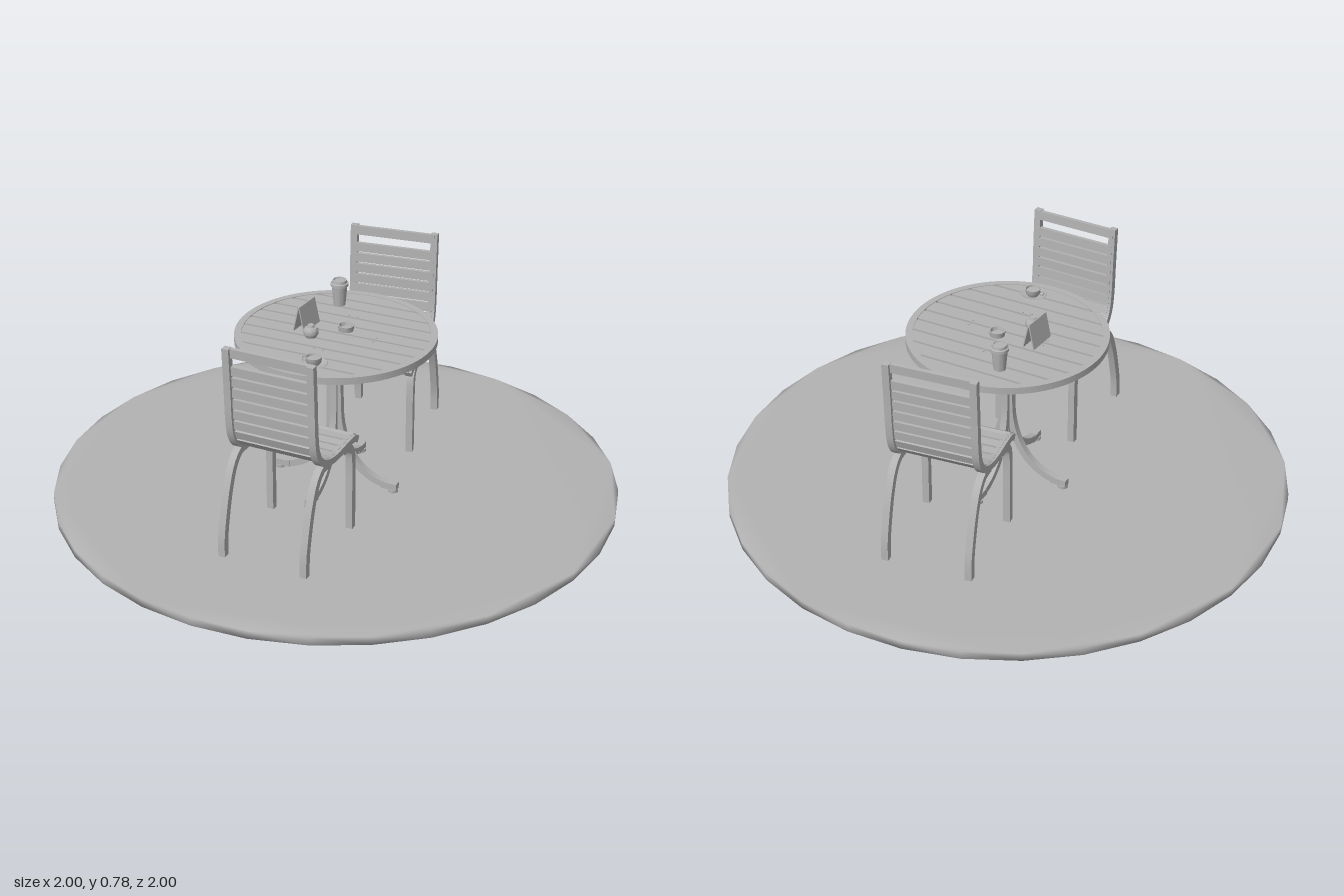
import * as THREE from 'three';
import { mergeVertices, toCreasedNormals } from 'three/addons/utils/BufferGeometryUtils.js';

const grey = new THREE.MeshStandardMaterial({ color: 0xb2b2b2 });
grey.name = 'plainGrey';
const greyOpen = grey;

function add(parent, name, geometry, x = 0, y = 0, z = 0) {
  const mesh = new THREE.Mesh(geometry, grey);
  mesh.name = name;
  mesh.position.set(x, y, z);
  parent.add(mesh);
  return mesh;
}

function curveOf(points) {
  return new THREE.CatmullRomCurve3(points.map(([x, y]) => new THREE.Vector3(x, y, 0)), false, 'centripetal');
}

// Flat bar bent along a curve in the xy plane, centred on z
function bentBar(points, thick, width, steps = 18) {
  const curve = curveOf(points);
  const outer = [], inner = [];
  for (let i = 0; i <= steps; i++) {
    const p = curve.getPointAt(i / steps), t = curve.getTangentAt(i / steps);
    const nx = -t.y * thick / 2, ny = t.x * thick / 2;
    outer.push(new THREE.Vector2(p.x + nx, p.y + ny));
    inner.unshift(new THREE.Vector2(p.x - nx, p.y - ny));
  }
  const g = new THREE.ExtrudeGeometry(new THREE.Shape([...outer, ...inner]), { depth: width, bevelEnabled: false });
  g.translate(0, 0, -width / 2);
  return toCreasedNormals(g, 0.6);
}

// Closed revolved shape from [radius, height] points
function turned(points, sides = 20) {
  const g = new THREE.LatheGeometry(points.map(([r, y]) => new THREE.Vector2(r, y)), sides);
  return toCreasedNormals(g, 0.6);
}

// Flat shape laid horizontally, from y = 0 up to the height
function slab(shape, height, segments = 24) {
  const g = new THREE.ExtrudeGeometry(shape, { depth: height, bevelEnabled: false, curveSegments: segments });
  return g.rotateX(-Math.PI / 2);
}

// Round base with normals shared between top, rim and underside
function makeBase() {
  const pts = [];
  for (let i = 0; i < 32; i++) {
    const a = (i + 0.5) / 32 * Math.PI * 2;
    pts.push(new THREE.Vector2(Math.cos(a) * 1.0048, Math.sin(a) * 1.0048));
  }
  let g = slab(new THREE.Shape(pts), 0.03);
  g.deleteAttribute('normal');
  g.deleteAttribute('uv');
  g = mergeVertices(g, 1e-4);
  g.computeVertexNormals();
  return g;
}

function makeTable() {
  const table = new THREE.Group();
  table.name = 'table';

  // Rim ring
  const ring = new THREE.Shape().absarc(0, 0, 0.352, 0, Math.PI * 2);
  ring.holes.push(new THREE.Path().absarc(0, 0, 0.328, 0, Math.PI * 2, true));
  add(table, 'tableRim', toCreasedNormals(slab(ring, 0.025, 48), 0.6), 0, 0.585, 0);

  // Slats cut to the circle
  const R = 0.332, count = 10, pitch = 2 * R / count, gap = 0.01;
  for (let i = 0; i < count; i++) {
    const z0 = -R + i * pitch + (i ? gap / 2 : 0.001);
    const z1 = -R + (i + 1) * pitch - (i < count - 1 ? gap / 2 : 0.001);
    const right = [], left = [];
    for (let k = 0; k <= 6; k++) {
      const z = z0 + (z1 - z0) * k / 6, x = Math.sqrt(R * R - z * z);
      right.push(new THREE.Vector2(x, z));
      left.unshift(new THREE.Vector2(-x, z));
    }
    add(table, 'tableSlat', slab(new THREE.Shape([...right, ...left]), 0.02), 0, 0.588, 0);
  }

  // Four curved legs with feet and top screws
  const legPath = [[0.2, 0.052], [0.15, 0.065], [0.09, 0.105], [0.045, 0.17], [0.018, 0.26], [0.012, 0.36],
    [0.013, 0.46], [0.03, 0.52], [0.075, 0.56], [0.13, 0.574], [0.19, 0.576]];
  const legGeo = bentBar(legPath, 0.024, 0.024, 36);
  for (let i = 0; i < 4; i++) {
    const leg = new THREE.Group();
    leg.name = 'tableLeg';
    leg.rotation.y = i * Math.PI / 2;
    add(leg, 'legBar', legGeo);
    add(leg, 'foot', new THREE.BoxGeometry(0.06, 0.024, 0.026), 0.208, 0.052, 0);
    add(leg, 'footPad', new THREE.CylinderGeometry(0.018, 0.018, 0.012, 12), 0.222, 0.035, 0);
    for (const s of [-1, 1])
      add(leg, 'screw', new THREE.CylinderGeometry(0.004, 0.004, 0.003, 8), 0.145, 0.609, s * 0.016);
    table.add(leg);
  }
  add(table, 'tableColumn', new THREE.BoxGeometry(0.026, 0.32, 0.026), 0, 0.36, 0);
  table.rotation.y = -0.045;
  return table;
}

// Chair with its back towards local +x
function makeChair(name) {
  const chair = new THREE.Group();
  chair.name = name;
  const seatPath = [[0.247, 0.358], [0.265, 0.37], [0.3, 0.373], [0.42, 0.37], [0.48, 0.383], [0.525, 0.41],
    [0.55, 0.455], [0.56, 0.52], [0.564, 0.62], [0.572, 0.775]];
  const parts = [
    ['sideRail', bentBar(seatPath, 0.024, 0.025, 40)],
    ['frontLeg', bentBar([[0.36, 0.362], [0.315, 0.358], [0.29, 0.335], [0.282, 0.28], [0.282, 0.15], [0.282, 0.028]], 0.025, 0.025)],
    ['rearLeg', bentBar([[0.46, 0.373], [0.51, 0.372], [0.55, 0.34], [0.585, 0.27], [0.612, 0.18], [0.629, 0.1], [0.632, 0.028]], 0.026, 0.025)],
  ];
  for (const s of [-1, 1])
    for (const [part, geo] of parts) add(chair, part, geo, 0, 0, s * 0.152);

  // Slats follow the seat curve, with a wider gap below the top rail
  const curve = curveOf(seatPath), length = curve.getLength();
  const stops = [length - 0.018];
  for (let s = length - 0.083; s > 0.008; s -= 0.0405) stops.push(s);
  for (const s of stops) {
    const p = curve.getPointAt(s / length), t = curve.getTangentAt(s / length);
    const slat = add(chair, 'chairSlat', new THREE.BoxGeometry(0.033, 0.015, 0.31),
      p.x - t.y * 0.006, p.y + t.x * 0.006, 0);
    slat.rotation.z = Math.atan2(t.y, t.x);
  }
  return chair;
}

function makeTableware() {
  const ware = new THREE.Group();
  ware.name = 'tableware';
  const top = 0.609;

  // Takeaway cup with lid
  add(ware, 'takeawayCup', turned([[0, 0], [0.021, 0], [0.028, 0.076], [0, 0.076]]), -0.075, top, -0.22);
  add(ware, 'cupLid', turned([[0, 0.074], [0.032, 0.074], [0.032, 0.084], [0.027, 0.086], [0.025, 0.096], [0.021, 0.096], [0.02, 0.092], [0, 0.092]]),
    -0.075, top, -0.22);

  // Tent card
  const card = new THREE.Group();
  card.name = 'tentCard';
  card.position.set(-0.115, top, -0.01);
  card.rotation.y = -0.13;
  for (const s of [-1, 1]) {
    const panel = add(card, 'cardPanel', new THREE.BoxGeometry(0.004, 0.092, 0.108), s * 0.011, 0.045, 0);
    panel.rotation.z = s * 0.22;
  }
  ware.add(card);

  // Small lidded pot
  add(ware, 'sugarPot', turned([[0, 0], [0.019, 0], [0.026, 0.012], [0.026, 0.026], [0.021, 0.034], [0.013, 0.036], [0.011, 0.045], [0, 0.045]]),
    -0.068, top, 0.062);

  // Ashtray
  add(ware, 'ashtray', turned([[0, 0], [0.026, 0], [0.029, 0.02], [0.024, 0.02], [0.021, 0.007], [0, 0.007]]), 0.025, top, -0.03);

  // Coffee cup on a saucer
  add(ware, 'saucer', turned([[0, 0], [0.025, 0], [0.048, 0.008], [0.046, 0.01], [0.024, 0.004], [0, 0.004]]), 0.025, top, 0.262);
  add(ware, 'coffeeCup', turned([[0, 0.003], [0.018, 0.003], [0.026, 0.014], [0.028, 0.032], [0.025, 0.032], [0.023, 0.024], [0, 0.024]]),
    0.025, top, 0.262);
  add(ware, 'cupHandle', new THREE.TorusGeometry(0.009, 0.0025, 6, 14), -0.007, top + 0.02, 0.262);
  return ware;
}

export function createModel() {
  const model = new THREE.Group();
  model.name = 'patioSet';
  add(model, 'groundDisc', makeBase());
  model.add(makeTable(), makeTableware());

  const frontChair = makeChair('frontChair');
  frontChair.rotation.y = -Math.PI / 2 - 0.07;
  frontChair.position.x = 0.038;
  const backChair = makeChair('backChair');
  backChair.rotation.y = Math.PI / 2 + 0.07;
  backChair.position.x = 0.042;
  model.add(frontChair, backChair);
  return model;
}
